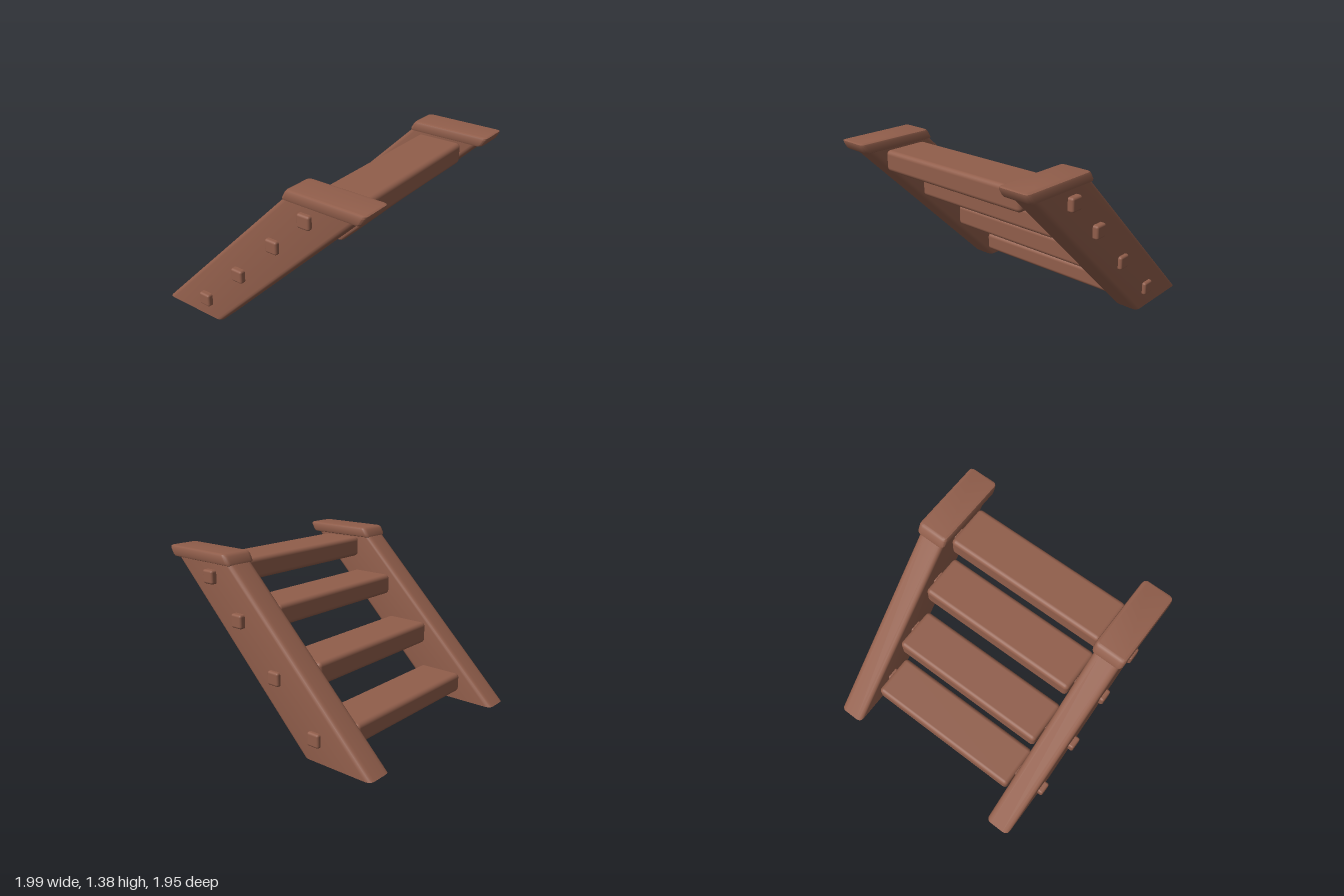
import * as THREE from 'three';
import { toCreasedNormals } from 'three/addons/utils/BufferGeometryUtils.js';
import { RoundedBoxGeometry } from 'three/addons/geometries/RoundedBoxGeometry.js';

const wood = new THREE.MeshStandardMaterial({ color: 0x915e4b });
wood.name = 'brown wood';

// Upright block with a rounded footprint, leaning towards +x by `lean` per unit of height
function leaningBlock(width, depth, height, radius, lean, bevel) {
  const w = width / 2 - bevel, d = depth / 2 - bevel, r = radius;
  const s = new THREE.Shape();
  s.moveTo(-w + r, -d);
  s.lineTo(w - r, -d);
  s.quadraticCurveTo(w, -d, w, -d + r);
  s.lineTo(w, d - r);
  s.quadraticCurveTo(w, d, w - r, d);
  s.lineTo(-w + r, d);
  s.quadraticCurveTo(-w, d, -w, d - r);
  s.lineTo(-w, -d + r);
  s.quadraticCurveTo(-w, -d, -w + r, -d);
  const geo = new THREE.ExtrudeGeometry(s, {
    depth: height - 2 * bevel, curveSegments: 4,
    bevelEnabled: bevel > 0, bevelThickness: bevel, bevelSize: bevel, bevelSegments: 2,
  });
  geo.rotateX(-Math.PI / 2);
  geo.translate(0, bevel, 0);
  const p = geo.attributes.position;
  for (let i = 0; i < p.count; i++) p.setX(i, p.getX(i) + lean * p.getY(i));
  geo.computeVertexNormals();
  return toCreasedNormals(geo, 0.6);
}

export function createModel() {
  const model = new THREE.Group();
  model.name = 'openStaircase';

  function add(name, geometry, x, y, z) {
    const mesh = new THREE.Mesh(geometry, wood);
    mesh.name = name;
    mesh.position.set(x, y, z);
    model.add(mesh);
    return mesh;
  }

  // Sloping side beams with a cap on each upper end
  const beam = leaningBlock(0.61, 0.22, 1.305, 0.05, 1, 0);
  const cap = leaningBlock(0.66, 0.265, 0.085, 0.02, 0.55, 0.02);
  for (const [side, s] of [['front', 1], ['back', -1]]) {
    add(side + 'Beam', beam, -0.695, 0, s * 0.82);
    const top = add(side + 'Cap', cap, 0.625, 1.3, s * 0.82);
    top.rotation.y = -0.012;
  }

  // Steps: centre x, centre y, thickness, tilt, peg y, back and front peg ends
  const steps = [
    [-0.515, 0.172, 0.16, 0.005, 0.175, -0.96, 0.975],
    [-0.155, 0.543, 0.183, 0, 0.54, -0.96, 0.975],
    [0.24, 0.917, 0.172, 0, 0.907, -0.975, 0.965],
    [0.593, 1.215, 0.172, 0, 1.198, -0.975, 0.965],
  ];
  const pegX = [-0.515, -0.135, 0.215, 0.51];
  steps.forEach(([x, y, thick, tilt, pegY, back, front], i) => {
    const tread = add('tread' + (i + 1), new RoundedBoxGeometry(0.38, thick, 1.39, 3, 0.035), x, y, 0);
    tread.rotation.x = tilt;
    // Square tenon pegs run from the tread through the beam
    for (const [side, end] of [['front', front], ['back', back]]) {
      const inner = Math.sign(end) * 0.6;
      add(side + 'Peg' + (i + 1), new RoundedBoxGeometry(0.108, 0.108, Math.abs(end - inner), 2, 0.018),
        pegX[i] + (end > 0 ? -0.007 : 0.01), pegY, (end + inner) / 2);
    }
  });

  return model;
}
